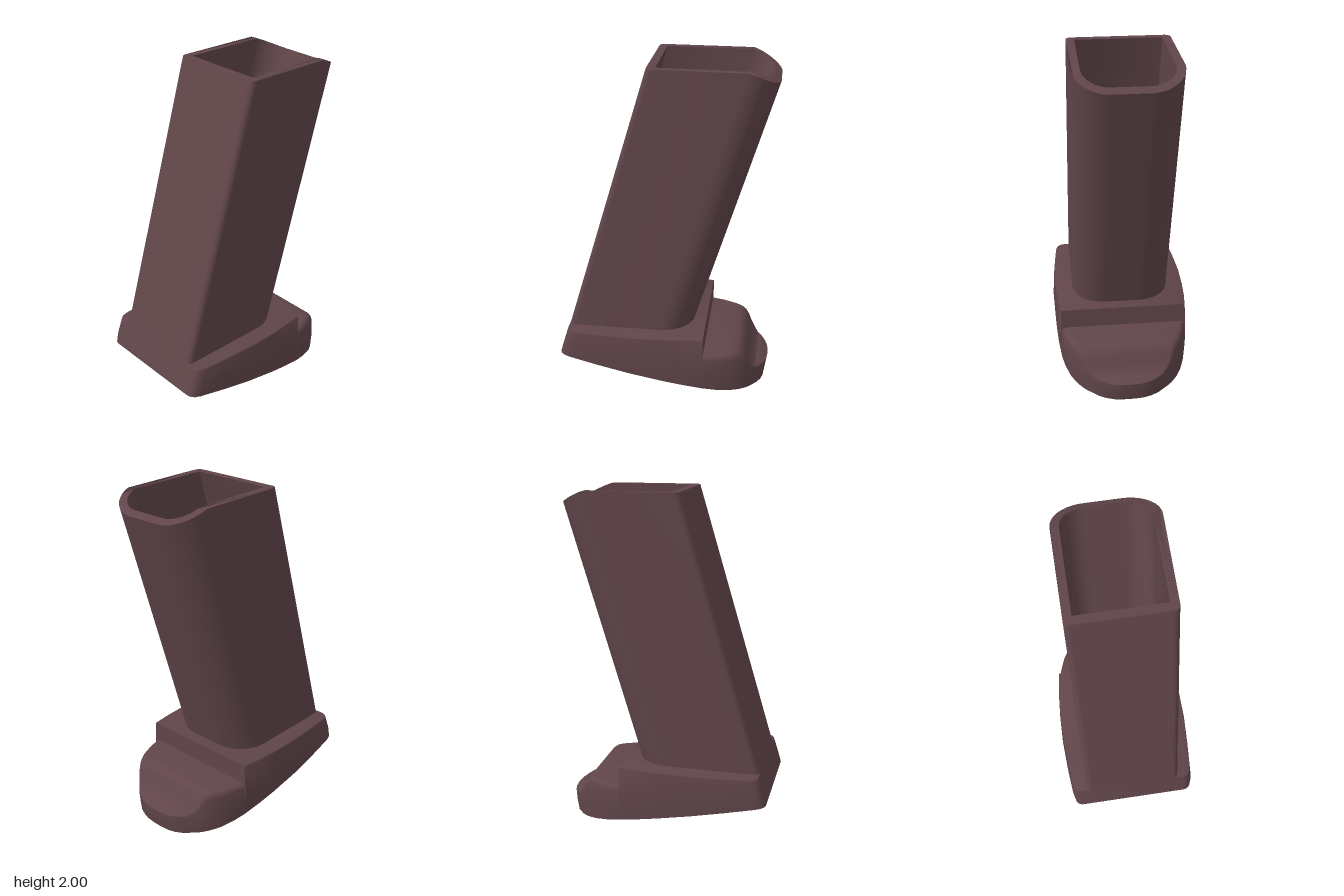
import * as THREE from 'three';
import { toCreasedNormals } from 'three/addons/utils/BufferGeometryUtils.js';

const material = new THREE.MeshStandardMaterial({ color: 0x604549, side: THREE.DoubleSide });
const LEAN = 0.301;                                  // backward lean of the tube
const CEILING = 0.24;                                // top of the underside pocket
const bottomY = (z) => 0.24 + (z - 0.63) * 0.195;    // sloping underside

function addMesh(group, name, geometry, crease = 0.6) {
  const mesh = new THREE.Mesh(toCreasedNormals(geometry, crease), material);
  mesh.name = name;
  group.add(mesh);
}

function fromTriangles(points) {
  const g = new THREE.BufferGeometry();
  g.setAttribute('position', new THREE.Float32BufferAttribute(points.flat(), 3));
  return g;
}

// Moves every vertex of a geometry by a rule
function remap(geometry, rule) {
  const g = geometry.index ? geometry.toNonIndexed() : geometry;
  const p = g.attributes.position;
  for (let i = 0; i < p.count; i++) p.setXYZ(i, ...rule(p.getX(i), p.getY(i), p.getZ(i)));
  return g;
}

// Tube outline: small front corners, large rear corners; shape y is -z
function tubeOutline(path, w, front, back, rf, rb) {
  path.moveTo(-w + rf, -front);
  path.lineTo(w - rf, -front);
  path.absarc(w - rf, -front + rf, rf, -Math.PI / 2, 0);
  path.lineTo(w, -back - rb);
  path.absarc(w - rb, -back - rb, rb, 0, Math.PI / 2);
  path.lineTo(-w + rb, -back);
  path.absarc(-w + rb, -back - rb, rb, Math.PI / 2, Math.PI);
  path.lineTo(-w, -front + rf);
  path.absarc(-w + rf, -front + rf, rf, Math.PI, Math.PI * 1.5);
  return path;
}

function tubeGeometry() {
  const shape = tubeOutline(new THREE.Shape(), 0.295, 0.1, -0.645, 0.035, 0.195);
  shape.holes.push(tubeOutline(new THREE.Path(), 0.247, 0.052, -0.597, 0.004, 0.147));
  const g = new THREE.ExtrudeGeometry(shape, { depth: 1, bevelEnabled: false, curveSegments: 14 });
  return remap(g, (x, sy, t) => {
    const drop = 0.085 * Math.pow(Math.max(0, -0.44 + sy) / 0.205, 1.2);
    const y = t > 0.5 ? 2 - drop : 0.4;
    return [x, y, -sy + (2 - y) * LEAN];
  });
}

// Base stations front to back: z, half width, top height, top edge radius
const stations = [
  [0.63, 0.345, 0.405, 0.008], [0.622, 0.367, 0.405, 0.008], [0.605, 0.382, 0.405, 0.008],
  [0.57, 0.391, 0.405, 0.008], [0.4, 0.405, 0.405, 0.008], [0.2, 0.414, 0.406, 0.008],
  [0, 0.41, 0.407, 0.008], [-0.12, 0.402, 0.408, 0.008], [-0.24, 0.388, 0.408, 0.008],
  [-0.24, 0.388, 0.285, 0.03], [-0.32, 0.37, 0.285, 0.035], [-0.4, 0.34, 0.285, 0.04],
  [-0.44, 0.316, 0.283, 0.04], [-0.463, 0.3, 0.268, 0.035], [-0.48, 0.285, 0.24, 0.03],
  [-0.495, 0.272, 0.2, 0.02], [-0.515, 0.25, 0.165, 0.012], [-0.54, 0.215, 0.135, 0.006],
  [-0.565, 0.18, 0.13, 0.006], [-0.585, 0.135, 0.123, 0.006], [-0.597, 0.09, 0.12, 0.006],
  [-0.602, 0.03, 0.12, 0.006],
];

// Cross-section from the left side over the top to the right side
function section([z, w, top, radius]) {
  const low = bottomY(z);
  const r = Math.min(radius, w * 0.4);
  const slant = z > 0 ? (0.3 * z) / 0.63 : 0.16 * Math.min(1, Math.max(0, (-z - 0.45) / 0.15));
  const topW = w - 0.01;
  const half = [[w * 0.985, low], [w, low + (top - low) * 0.4]];
  for (let i = 0; i <= 4; i++) {
    const a = (i / 4) * Math.PI / 2;
    half.push([topW - r + r * Math.cos(a), top - r + r * Math.sin(a)]);
  }
  const all = [...half, ...half.slice().reverse().map(([x, y]) => [-x, y])];
  return all.map(([x, y]) => [x, y, z - (y - low) * slant]);
}

function baseShell() {
  const s = stations.map(section);
  const n = s[0].length;
  const out = [];
  for (let i = 0; i < s.length - 1; i++) {
    for (let j = 0; j < n - 1; j++) {
      const [a, b, c, d] = [s[i][j], s[i + 1][j], s[i + 1][j + 1], s[i][j + 1]];
      out.push(a, b, d, b, c, d);
    }
  }
  const end = s[s.length - 1];
  for (let j = 1; j < n - 1; j++) {
    out.push(s[0][0], s[0][j], s[0][j + 1]);
    out.push(end[0], end[j + 1], end[j]);
  }
  return fromTriangles(out);
}

// Pocket outline in x, z
function pocketOutline() {
  const right = [[0.262, 0.59], [0.262, -0.26]];
  for (let i = 1; i <= 8; i++) {
    const a = (i / 8) * Math.PI / 2;
    right.push([0.1 + 0.162 * Math.cos(a), -0.26 - 0.17 * Math.sin(a)]);
  }
  const left = right.slice().reverse().map(([x, z]) => [-x, z]);
  return [...right, ...left].map(([x, z]) => new THREE.Vector2(x, z));
}

export function createModel() {
  const model = new THREE.Group();
  model.name = 'tubeWithBase';

  addMesh(model, 'hollowTube', tubeGeometry(), 0.5);

  const base = new THREE.Group();
  base.name = 'base';
  model.add(base);
  addMesh(base, 'baseShell', baseShell());

  // Sloping underside with the pocket cut out
  const pocket = pocketOutline();
  const rim = stations.filter((s, i) => i === 0 || s[0] !== stations[i - 1][0]);
  const outline = [
    ...rim.map(([z, w]) => new THREE.Vector2(w * 0.985, z)),
    ...rim.slice().reverse().map(([z, w]) => new THREE.Vector2(-w * 0.985, z)),
  ];
  const underside = new THREE.Shape(outline);
  underside.holes.push(new THREE.Path(pocket));
  addMesh(base, 'underside', remap(new THREE.ShapeGeometry(underside), (x, z) => [x, bottomY(z), z]));

  // Pocket walls, facing inward
  const walls = [];
  pocket.forEach((p, i) => {
    const q = pocket[(i + 1) % pocket.length];
    const [a, b] = [[p.x, bottomY(p.y), p.y], [q.x, bottomY(q.y), q.y]];
    const [c, d] = [[q.x, CEILING, q.y], [p.x, CEILING, p.y]];
    walls.push(a, d, b, b, d, c);
  });
  addMesh(base, 'pocketWalls', fromTriangles(walls));

  // Pocket ceiling with a blind hole
  const bossZ = 0.09;
  const ceiling = new THREE.Shape(pocket);
  ceiling.holes.push(new THREE.Path().absarc(0, bossZ, 0.1, 0, Math.PI * 2));
  addMesh(base, 'pocketCeiling', remap(new THREE.ShapeGeometry(ceiling, 16), (x, z) => [x, CEILING, z]));

  // Conical boss around the hole
  const profile = [[0, 0.32], [0.1, 0.32], [0.1, 0.195], [0.14, 0.195], [0.182, CEILING]];
  const boss = new THREE.LatheGeometry(profile.map(([r, y]) => new THREE.Vector2(r, y)), 32);
  addMesh(base, 'boss', boss.translate(0, 0, bossZ));

  return model;
}
